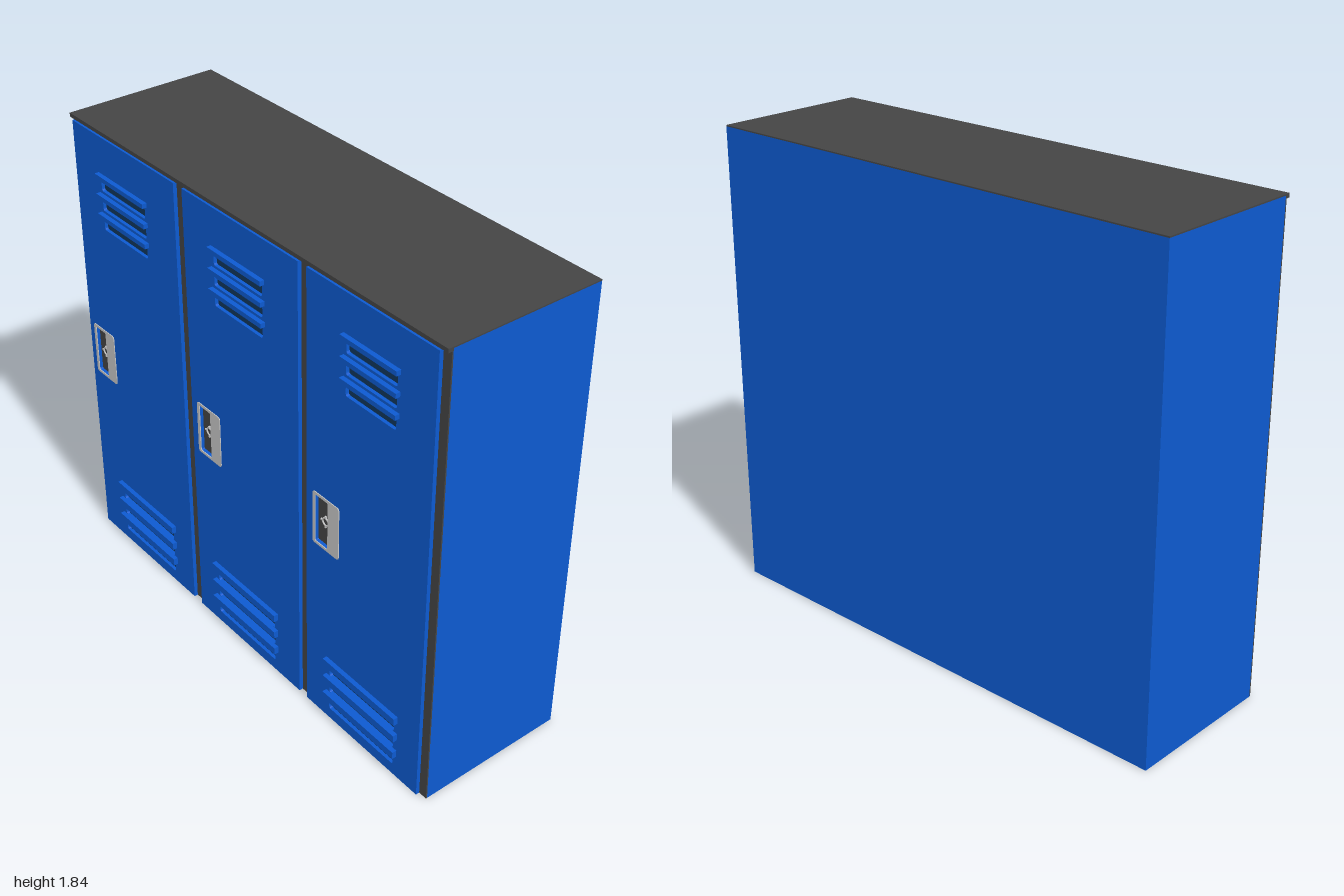
import * as THREE from 'three';

const mat = (name, color) => {
  const m = new THREE.MeshStandardMaterial({ color });
  m.name = name;
  return m;
};

const BACK = -0.32, FRAME = 0.285, FACE = 0.3; // depths of back, frame front and door front
const DOOR_TOP = 1.817;

export function createModel() {
  const blue = mat('blue paint', 0x0d5ad0);
  const dark = mat('dark grey', 0x454545);
  const navy = mat('slot navy', 0x10365c);
  const steel = mat('light steel', 0xc8c8c8);

  const root = new THREE.Group();
  root.name = 'lockers';

  const add = (parent, name, geometry, material) => {
    const mesh = new THREE.Mesh(geometry, material);
    mesh.name = name;
    parent.add(mesh);
    return mesh;
  };
  // Box given by its limits on each axis
  const box = (parent, name, material, x0, x1, y0, y1, z0, z1) =>
    add(parent, name, new THREE.BoxGeometry(x1 - x0, y1 - y0, z1 - z0), material)
      .position.set((x0 + x1) / 2, (y0 + y1) / 2, (z0 + z1) / 2);

  const trace = (p, x0, x1, y0, y1, r) => {
    p.moveTo(x0 + r, y0);
    p.lineTo(x1 - r, y0);
    p.quadraticCurveTo(x1, y0, x1, y0 + r);
    p.lineTo(x1, y1 - r);
    p.quadraticCurveTo(x1, y1, x1 - r, y1);
    p.lineTo(x0 + r, y1);
    p.quadraticCurveTo(x0, y1, x0, y1 - r);
    p.lineTo(x0, y0 + r);
    p.quadraticCurveTo(x0, y0, x0 + r, y0);
    return p;
  };
  const plate = (shape, depth, z) =>
    new THREE.ExtrudeGeometry(shape, { depth, bevelEnabled: false, curveSegments: 4 }).translate(0, 0, z);

  // Cabinet with dark front frame and lid
  box(root, 'cabinet', blue, -1, 1, 0, 1.835, BACK, FRAME - 0.005);
  box(root, 'frontFrame', dark, -1, 1, 0, 1.835, FRAME - 0.005, FRAME);
  box(root, 'lid', dark, -1, 1, 1.835, 1.84, BACK, FACE);
  box(root, 'lidLip', dark, -1, 1, 1.825, 1.835, FRAME, FACE);

  // Door limits, upper and lower louvre limits, and handle left edge
  const doors = [
    { x: [-0.985, -0.355], upper: [-0.83, -0.527], lower: [-0.845, -0.463], handle: -0.955 },
    { x: [-0.305, 0.317], upper: [-0.147, 0.144], lower: [-0.195, 0.19], handle: -0.27 },
    { x: [0.36, 0.965], upper: [0.543, 0.807], lower: [0.473, 0.856], handle: 0.395 },
  ];

  for (const d of doors) {
    const door = new THREE.Group();
    door.name = 'door';
    root.add(door);

    const panel = new THREE.Shape([
      [d.x[0], 0], [d.x[1], 0], [d.x[1], DOOR_TOP], [d.x[0], DOOR_TOP],
    ].map(([x, y]) => new THREE.Vector2(x, y)));

    // Vents: a projecting louvre above each open slot
    const vents = (name, [x0, x1], top, pitch, hood, slot, inset) => {
      for (let i = 0; i < 3; i++) {
        const y = top - i * pitch;
        box(door, name + 'Louvre', blue, x0, x1, y - hood, y, FACE, 0.318);
        const s0 = y - hood - slot, s1 = y - hood;
        panel.holes.push(trace(new THREE.Path(), x0 + inset, x1 - inset, s0, s1, 0.01));
        box(door, name + 'Slot', navy, x0 + inset, x1 - inset, s0, s1, FRAME, FRAME + 0.002);
      }
    };
    vents('upper', d.upper, 1.672, 0.079, 0.018, 0.051, 0.013);
    vents('lower', d.lower, 0.286, 0.08, 0.03, 0.05, 0.017);

    // Recessed handle with a light surround
    const h = d.handle;
    const pocket = () => trace(new THREE.Path(), h + 0.014, h + 0.08, 0.776, 0.973, 0.006);
    panel.holes.push(pocket());
    const surround = trace(new THREE.Shape(), h, h + 0.138, 0.766, 0.984, 0.012);
    surround.holes.push(pocket());
    add(door, 'handleSurround', plate(surround, 0.003, FACE), steel);
    box(door, 'handleRecess', dark, h + 0.014, h + 0.08, 0.776, 0.973, FRAME, FRAME + 0.002);

    // Lock ring with three short tabs
    const lock = new THREE.Group();
    lock.name = 'lock';
    lock.position.set(h + 0.056, 0.875, 0.291);
    door.add(lock);
    add(lock, 'lockRing', new THREE.TorusGeometry(0.015, 0.003, 6, 20), steel);
    box(lock, 'lockTab', steel, -0.024, -0.016, -0.003, 0.003, -0.003, 0.003);
    for (const s of [-1, 1]) {
      box(lock, 'lockTab', steel, -0.003, 0.003, s * 0.02 - 0.004, s * 0.02 + 0.004, -0.003, 0.003);
    }

    add(door, 'doorPanel', plate(panel, FACE - FRAME, FRAME), blue);
  }
  return root;
}
